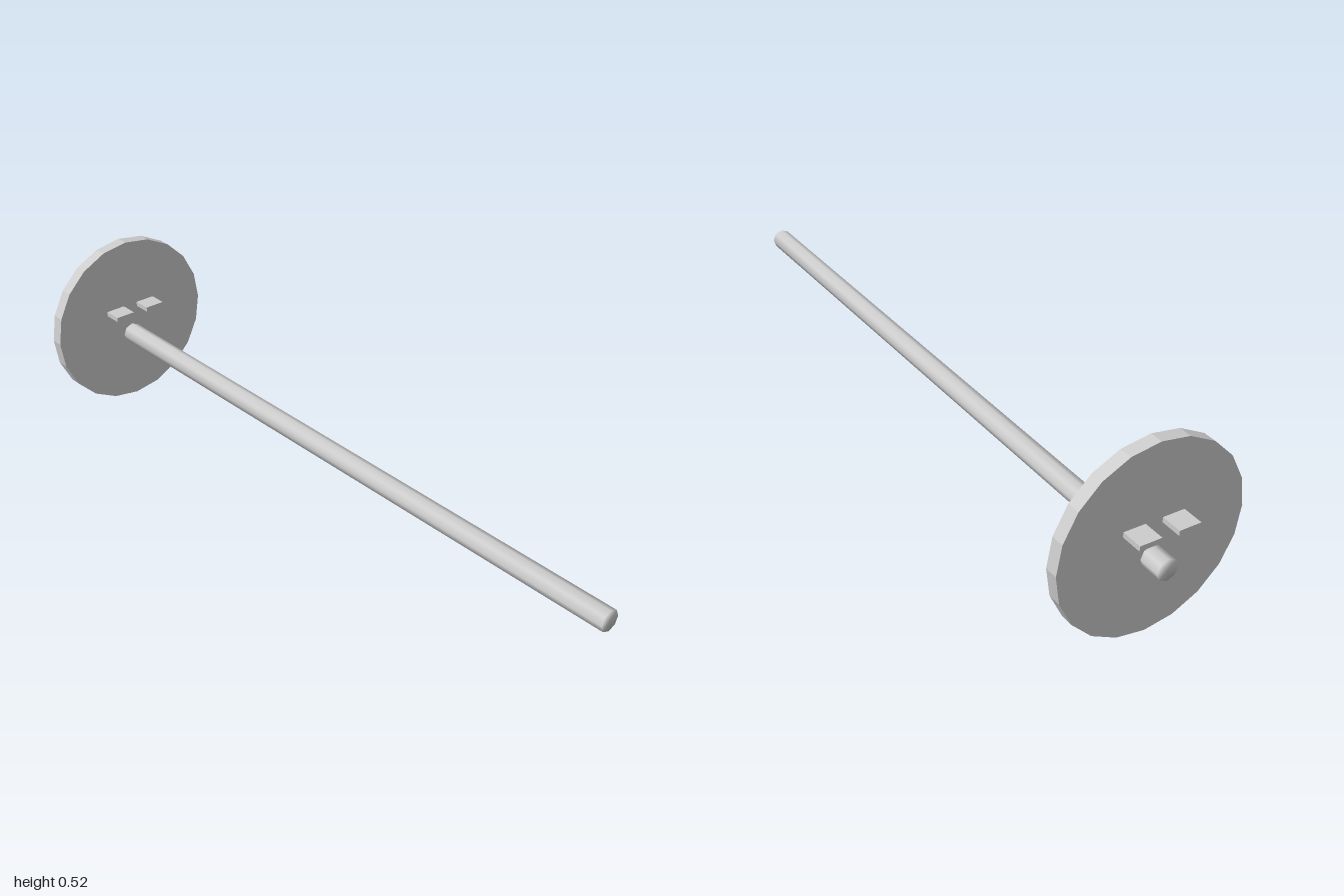
import * as THREE from 'three';
import { mergeVertices } from 'three/addons/utils/BufferGeometryUtils.js';

export function createModel() {
  const model = new THREE.Group();
  const grey = new THREE.MeshStandardMaterial({ color: 0xcccccc });
  grey.name = 'light grey';

  const add = (name, geometry, x, y, z) => {
    const mesh = new THREE.Mesh(geometry, grey);
    mesh.name = name;
    mesh.position.set(x, y, z);
    model.add(mesh);
  };

  // Shaft: eight sides, with normals smoothed across the sides and ends
  const shaft = new THREE.CylinderGeometry(0.03, 0.03, 2, 8).rotateX(Math.PI / 2);
  shaft.deleteAttribute('uv');
  shaft.deleteAttribute('normal');
  const smoothShaft = mergeVertices(shaft);
  smoothShaft.computeVertexNormals();
  add('shaft', smoothShaft, 0, 0.217, 0);

  // Disc: twenty flat facets around the rim
  const disc = new THREE.CylinderGeometry(0.261, 0.261, 0.037, 20)
    .rotateX(Math.PI / 2)
    .toNonIndexed();
  disc.computeVertexNormals();
  add('disc', disc, 0, 0.262, -0.922);

  // Pair of flat tabs passing through the disc
  for (const side of [1, -1]) {
    const name = side > 0 ? 'leftTab' : 'rightTab';
    add(name, new THREE.BoxGeometry(0.061, 0.014, 0.15), side * 0.0545, 0.308, -0.924);
  }

  return model;
}
